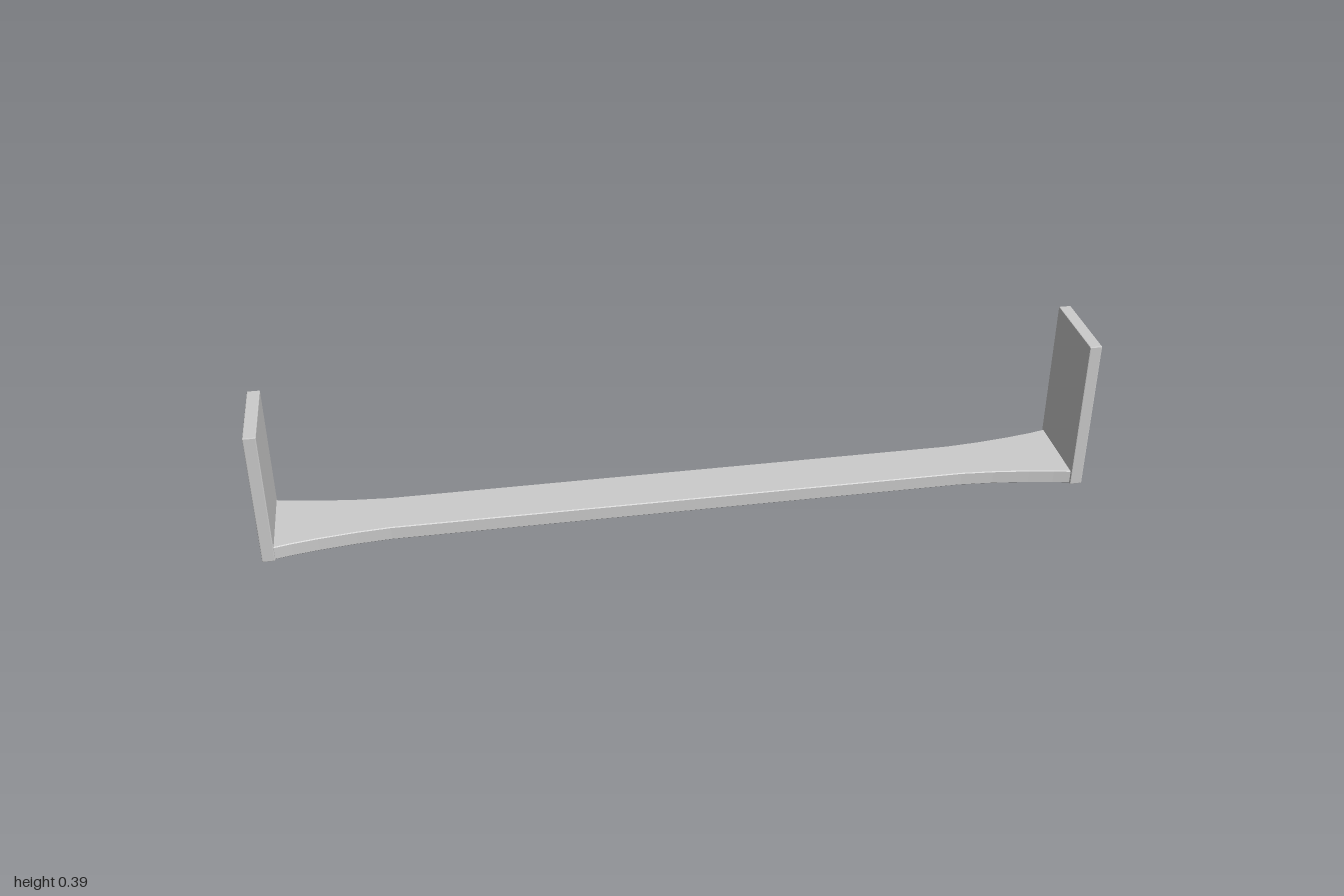
import * as THREE from 'three';
import { RoundedBoxGeometry } from 'three/addons/geometries/RoundedBoxGeometry.js';

const DEPTH = 0.21, PLATE = 0.03, BAR = 0.035, EDGE = 0.002;

export function createModel() {
  const group = new THREE.Group();
  const material = new THREE.MeshStandardMaterial({ color: 0xcccccc, flatShading: true });
  const add = (name, geometry) => {
    const mesh = new THREE.Mesh(geometry, material);
    mesh.name = name;
    group.add(mesh);
    return mesh;
  };

  // Upright end plates, the left one taller
  const addPlate = (name, side, height) =>
    add(name, new RoundedBoxGeometry(PLATE, height, DEPTH, 1, EDGE))
      .position.set(side * (1 - PLATE / 2), height / 2, 0);
  addPlate('leftEndPlate', 1, 0.39);
  addPlate('rightEndPlate', -1, 0.34);

  // Flat bar: straight in the middle, flaring to the plate depth at both ends
  const flare = [[0.7, 0.063], [0.78, 0.069], [0.87, 0.08], [0.93, 0.09], [0.985, 0.102]];
  const mirrored = (sx, sz) => flare.map(([x, z]) => new THREE.Vector2(sx * x, sz * z));
  const outline = new THREE.Shape([
    ...mirrored(1, -1),
    ...mirrored(1, 1).reverse(),
    ...mirrored(-1, 1),
    ...mirrored(-1, -1).reverse(),
  ]);
  const bar = new THREE.ExtrudeGeometry(outline, {
    depth: BAR - 2 * EDGE, bevelEnabled: true, bevelSegments: 1,
    bevelThickness: EDGE, bevelSize: EDGE, bevelOffset: -EDGE,
  });
  bar.rotateX(-Math.PI / 2).translate(0, EDGE, 0);
  add('flaredBar', bar);

  return group;
}
